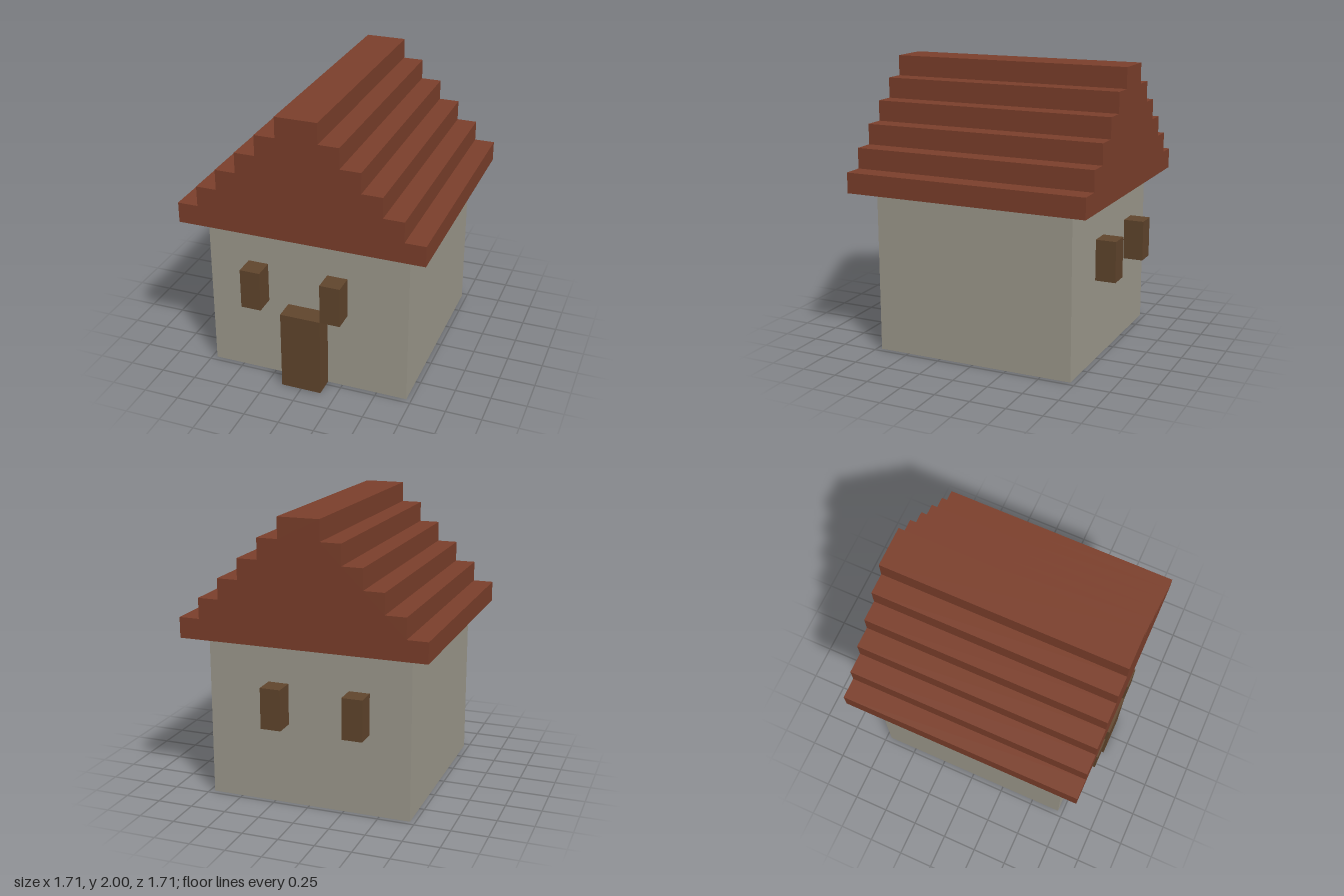
import * as THREE from 'three';

const U = 1 / 7; // block size

export function createModel() {
  const house = new THREE.Group();
  house.name = 'house';

  const stone = new THREE.MeshStandardMaterial({ name: 'stone', color: 0xa09c8f });
  const brick = new THREE.MeshStandardMaterial({ name: 'roofBrick', color: 0x7d402c });
  const wood = new THREE.MeshStandardMaterial({ name: 'wood', color: 0x62462d });

  // Box given by its low corner and size in blocks
  function addBox(name, material, [x, y, z], [w, h, d]) {
    const mesh = new THREE.Mesh(new THREE.BoxGeometry(w * U, h * U, d * U), material);
    mesh.position.set((x + w / 2) * U, (y + h / 2) * U, (z + d / 2) * U);
    mesh.name = name;
    house.add(mesh);
  }

  // Walls and door
  addBox('walls', stone, [-5, 0, -5], [10, 8, 10]);
  addBox('door', wood, [-1, 0, 5], [2, 4, 1]);

  // Shutters, a pair on the front and a pair on the back
  for (const [side, z] of [['front', 5], ['back', -6]]) {
    addBox(side + 'RightWindow', wood, [-3, 4, z], [1, 2, 1]);
    addBox(side + 'LeftWindow', wood, [1, 4, z], [1, 2, 1]);
  }

  // Stepped gable roof: six steps, each one block narrower per side
  const steps = 6;
  const right = [];
  for (let i = 0; i < steps; i++) {
    const half = (steps - i) * U;
    right.push(new THREE.Vector2(half, (8 + i) * U), new THREE.Vector2(half, (9 + i) * U));
  }
  const left = right.map((p) => new THREE.Vector2(-p.x, p.y)).reverse();
  const roofGeometry = new THREE.ExtrudeGeometry(new THREE.Shape([...right, ...left]), {
    depth: 12 * U,
    bevelEnabled: false,
  });
  roofGeometry.translate(0, 0, -6 * U);
  const roof = new THREE.Mesh(roofGeometry, brick);
  roof.name = 'roof';
  house.add(roof);

  return house;
}
